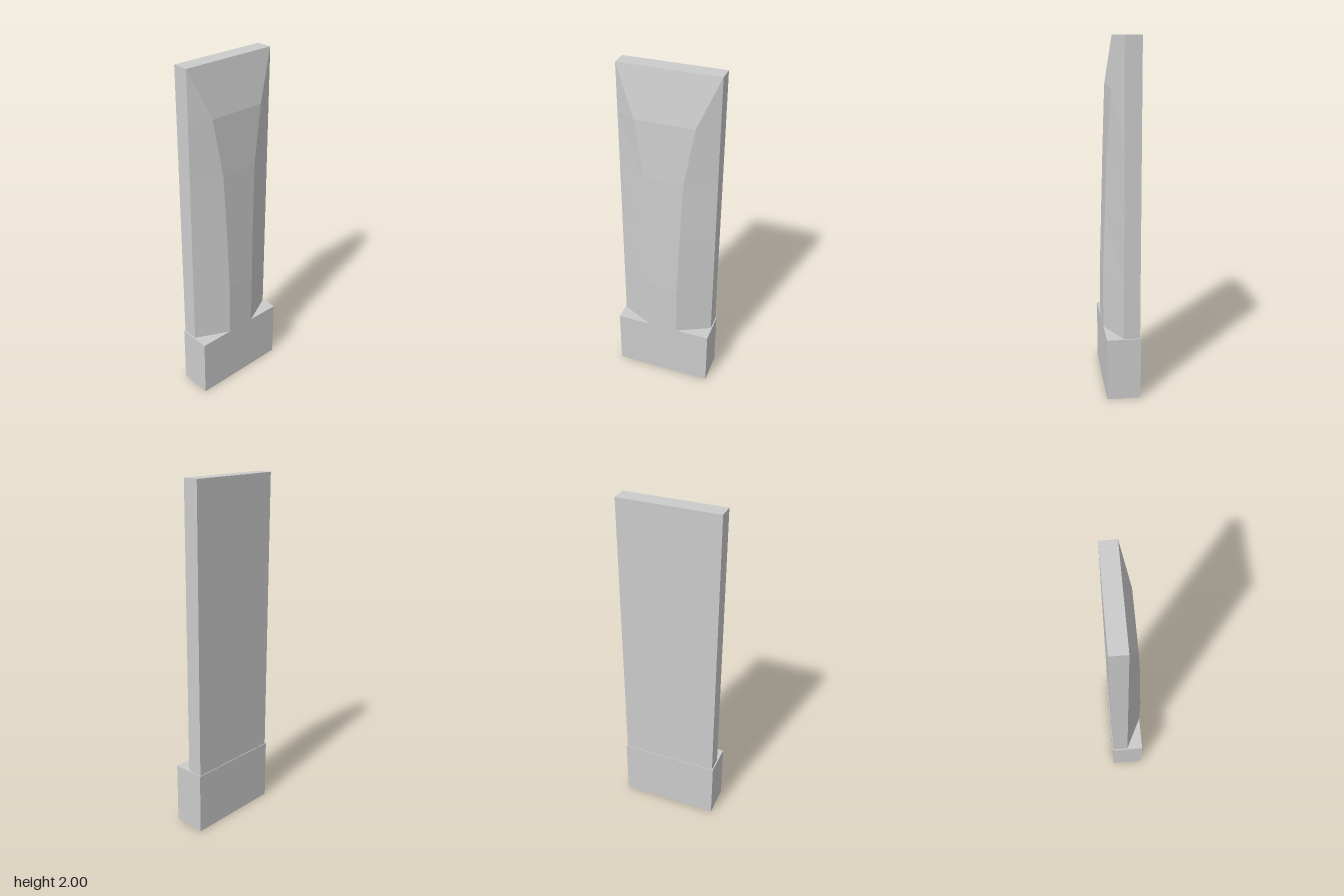
import * as THREE from 'three';

const material = new THREE.MeshStandardMaterial({ color: 0xcccccc, flatShading: true });

function addMesh(group, name, geometry, x = 0, y = 0, z = 0) {
  const mesh = new THREE.Mesh(geometry, material);
  mesh.name = name;
  mesh.position.set(x, y, z);
  group.add(mesh);
}

// Faceted bulge: each section is a trapezoid, [height, depth, half width of the outer face]
function bulgeGeometry(sections, halfWidth) {
  const positions = [];
  const index = [];
  for (const [y, depth, w] of sections) {
    positions.push(0, y, halfWidth, depth, y, w, depth, y, -w, 0, y, -halfWidth);
  }
  for (let row = 0; row < sections.length - 1; row++) {
    for (let i = 0; i < 3; i++) {
      const a = row * 4 + i;
      index.push(a, a + 4, a + 5, a, a + 5, a + 1);
    }
  }
  const geometry = new THREE.BufferGeometry();
  geometry.setAttribute('position', new THREE.Float32BufferAttribute(positions, 3));
  geometry.setIndex(index);
  geometry.computeVertexNormals();
  return geometry;
}

export function createModel() {
  const group = new THREE.Group();
  group.name = 'pilaster';

  // Plinth block
  addMesh(group, 'base', new THREE.BoxGeometry(0.19, 0.36, 0.576), 0, 0.18, 0);

  // Flat upright slab
  addMesh(group, 'backSlab', new THREE.BoxGeometry(0.091, 1.64, 0.562), -0.0455, 1.18, 0);

  // Tapering front that fades into the slab's top edge
  const sections = [
    [2, 0, 0.281],
    [1.73, 0.056, 0.167],
    [1.4, 0.073, 0.113],
    [1.05, 0.084, 0.099],
    [0.68, 0.095, 0.088],
    [0.36, 0.095, 0.088],
  ];
  addMesh(group, 'facetedFront', bulgeGeometry(sections, 0.281));

  return group;
}
